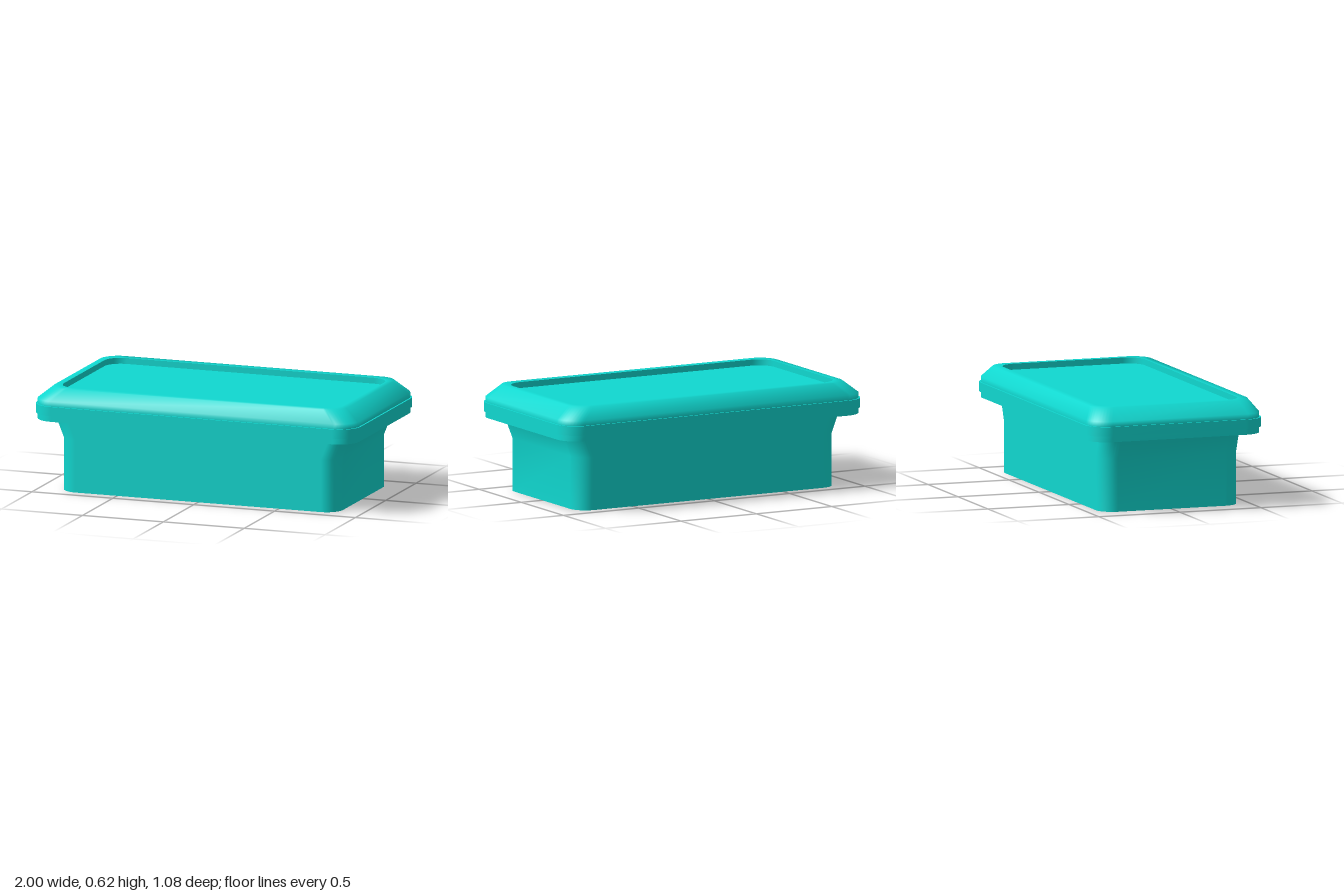
import * as THREE from 'three';
import { mergeGeometries } from 'three/addons/utils/BufferGeometryUtils.js';

const STEPS = 10; // segments per rounded corner

// Rounded rectangle outline at height y: half sizes hx, hz and corner radius r
function ring([hx, hz, r, y]) {
  const points = [];
  const corners = [[1, 1], [-1, 1], [-1, -1], [1, -1]];
  corners.forEach(([sx, sz], q) => {
    for (let i = 0; i <= STEPS; i++) {
      const a = (q + i / STEPS) * Math.PI / 2;
      points.push(sx * (hx - r) + r * Math.cos(a), y, sz * (hz - r) + r * Math.sin(a));
    }
  });
  return points;
}

// Smooth skin through a run of outlines
function skin(sections) {
  const n = 4 * (STEPS + 1);
  const index = [];
  for (let s = 0; s < sections.length - 1; s++) {
    for (let i = 0; i < n; i++) {
      const a = s * n + i, b = s * n + (i + 1) % n;
      index.push(a, a + n, b, b, a + n, b + n);
    }
  }
  const g = new THREE.BufferGeometry();
  g.setAttribute('position', new THREE.Float32BufferAttribute(sections.flatMap(ring), 3));
  g.setIndex(index);
  g.computeVertexNormals();
  return g;
}

// Several skins, with a sharp edge between one and the next
function part(name, material, runs) {
  const mesh = new THREE.Mesh(mergeGeometries(runs.map(skin)), material);
  mesh.name = name;
  return mesh;
}

export function createModel() {
  const teal = new THREE.MeshStandardMaterial({ color: 0x10d8d0 });
  teal.name = 'teal';
  const group = new THREE.Group();
  group.name = 'lidded container';

  // Tub: straight sides, flaring outwards at both ends below the lid
  group.add(part('tub', teal, [
    [[0, 0, 0, 0], [0.86, 0.43, 0.1, 0]],
    [[0.86, 0.43, 0.1, 0], [0.86, 0.43, 0.1, 0.31], [0.91, 0.43, 0.1, 0.435]],
  ]));

  // Lid: skirt, proud band, and chamfered rim
  group.add(part('lid', teal, [
    [[0, 0, 0, 0.43], [0.99, 0.53, 0.12, 0.43]],
    [[0.99, 0.53, 0.12, 0.43], [0.99, 0.53, 0.12, 0.465]],
    [[0.99, 0.53, 0.12, 0.465], [1, 0.54, 0.13, 0.465]],
    [[1, 0.54, 0.13, 0.465], [1, 0.54, 0.13, 0.52]],
    [[1, 0.54, 0.13, 0.52], [0.99, 0.53, 0.12, 0.52]],
    [[0.99, 0.53, 0.12, 0.52], [0.99, 0.53, 0.12, 0.55], [0.905, 0.485, 0.11, 0.62],
      [0.865, 0.435, 0.1, 0.62]],
    // Recess wall
    [[0.865, 0.435, 0.1, 0.62], [0.865, 0.435, 0.1, 0.585]],
  ]));

  // Sunken panel in the top of the lid
  group.add(part('lidPanel', teal, [
    [[0.865, 0.435, 0.1, 0.585], [0, 0, 0, 0.585]],
  ]));

  return group;
}
